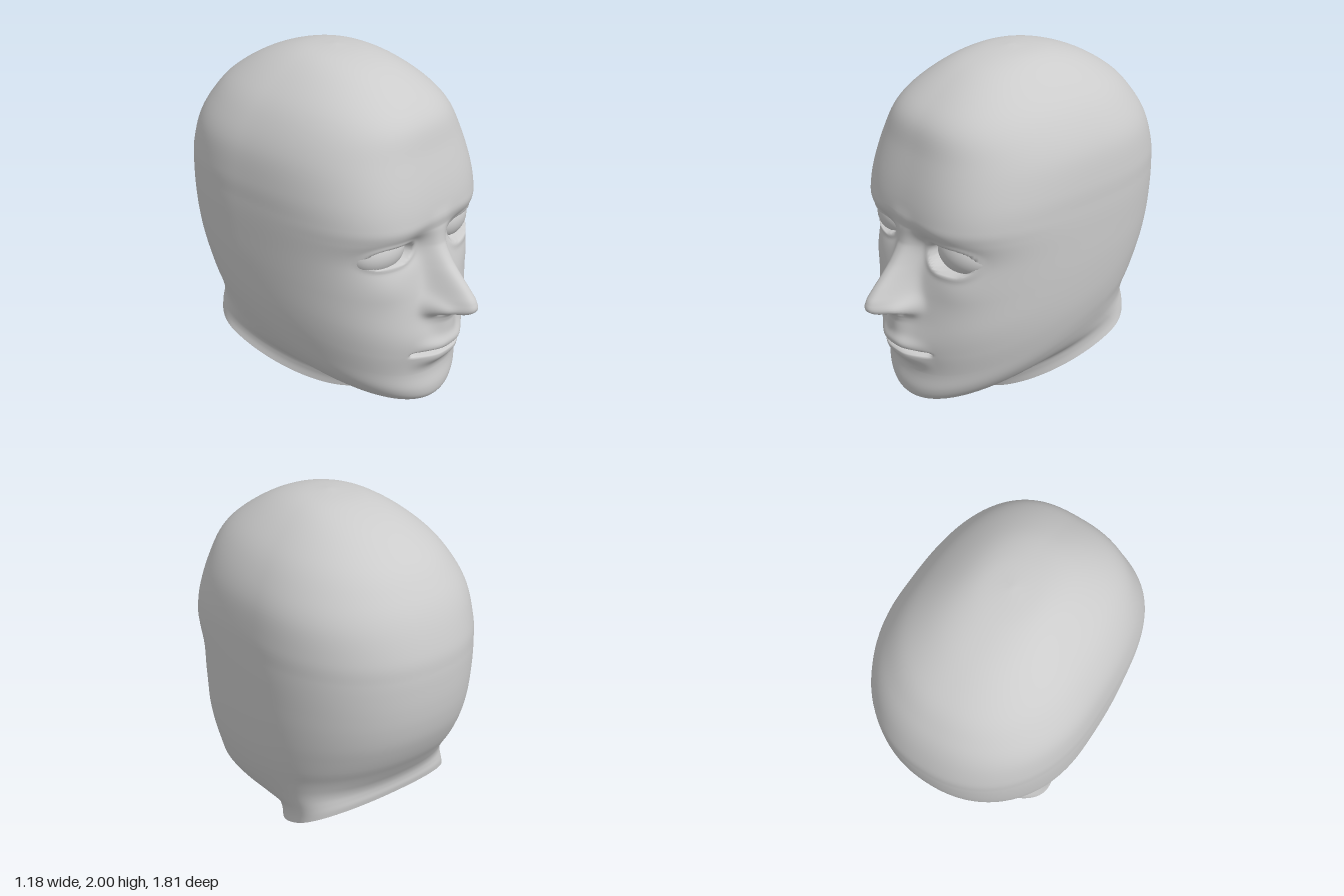
import * as THREE from 'three';
import { mergeVertices } from 'three/addons/utils/BufferGeometryUtils.js';

// Cross-sections from the neck cut to the crown:
// front z, front y, back z, back y, half width, z of widest point, front squareness
const SECTIONS = [
  [0.17, 0.00, -0.66, 0.50, 0.475, -0.42, 1.6],
  [0.20, 0.06, -0.665, 0.53, 0.468, -0.42, 1.6],
  [0.26, 0.11, -0.665, 0.56, 0.467, -0.40, 1.62],
  [0.45, 0.12, -0.67, 0.59, 0.473, -0.36, 1.75],
  [0.60, 0.135, -0.685, 0.625, 0.482, -0.32, 1.9],
  [0.68, 0.18, -0.71, 0.665, 0.495, -0.28, 2.05],
  [0.70, 0.25, -0.745, 0.72, 0.512, -0.24, 2.2],
  [0.685, 0.36, -0.79, 0.79, 0.533, -0.22, 2.35],
  [0.69, 0.50, -0.83, 0.87, 0.553, -0.20, 2.5],
  [0.69, 0.65, -0.86, 0.95, 0.567, -0.20, 2.65],
  [0.66, 0.85, -0.88, 1.04, 0.579, -0.20, 2.8],
  [0.635, 1.05, -0.89, 1.13, 0.586, -0.20, 3.0],
  [0.655, 1.19, -0.893, 1.22, 0.590, -0.20, 3.1],
  [0.672, 1.27, -0.891, 1.31, 0.590, -0.20, 3.1],
  [0.65, 1.40, -0.88, 1.41, 0.587, -0.20, 3.0],
  [0.60, 1.57, -0.83, 1.56, 0.562, -0.20, 2.8],
  [0.55, 1.72, -0.76, 1.68, 0.502, -0.18, 2.6],
  [0.44, 1.83, -0.65, 1.80, 0.415, -0.15, 2.5],
  [0.28, 1.93, -0.46, 1.915, 0.285, -0.11, 2.3],
  [0.12, 1.98, -0.25, 1.982, 0.160, -0.07, 2.1],
  [-0.05, 2.00, -0.05, 2.00, 0.000, -0.05, 2.0],
];
const BACK_SQUARENESS = 2.2;

// Nose ridge: height y, projection
const NOSE = [
  [0.55, 0], [0.68, 0.045], [0.72, 0.07], [0.74, 0.12], [0.76, 0.19], [0.78, 0.22],
  [0.80, 0.23], [0.84, 0.22], [0.90, 0.182], [1.0, 0.11], [1.1, 0.05], [1.2, 0.015], [1.3, 0],
];

// Eyes: centre x, y, half width, upper and lower opening
const EYES = [
  { name: 'rightEye', x: -0.28, y: 1.10, w: 0.125, up: 0.055, low: 0.052 },
  { name: 'leftEye', x: 0.275, y: 1.09, w: 0.125, up: 0.062, low: 0.080 },
];

const COLUMNS = 180;
const smooth = THREE.MathUtils.smoothstep;
const bump = (d, s) => Math.exp(-((d / s) ** 2));

function cubic(a, b, c, d, t) {
  return b + 0.5 * t * (c - a + t * (2 * a - 5 * b + 4 * c - d + t * (3 * (b - c) + d - a)));
}

function ridge(y) {
  for (let i = 1; i < NOSE.length; i++) {
    const [y0, h0] = NOSE[i - 1], [y1, h1] = NOSE[i];
    if (y >= y0 && y < y1) return h0 + (h1 - h0) * (y - y0) / (y1 - y0);
  }
  return 0;
}

// Forward offset of the face at x, y
function faceRelief(x, y) {
  const ax = Math.abs(x);
  // nose ridge, wings and nostrils
  const noseWidth = 0.075 + 0.025 * bump(y - 0.77, 0.1);
  let d = ridge(y) * Math.exp(-((ax / noseWidth) ** 2.6));
  d += 0.05 * bump(ax - 0.11, 0.035) * bump(y - 0.785, 0.045);
  d += 0.02 * bump(x, 0.2) * bump(y - 0.82, 0.12);
  d -= 0.045 * bump(ax - 0.065, 0.03) * bump(y - 0.746, 0.013);
  // mouth mound, lips, and the slit between them
  const lipSpan = 1 - smooth(ax, 0.05, 0.23);
  d += 0.048 * bump(x, 0.2) * bump(y - 0.565, 0.12);
  d += 0.032 * lipSpan * bump(y - 0.55, 0.038);
  d += 0.034 * lipSpan * bump(y - 0.465, 0.05);
  d -= 0.06 * (1 - smooth(ax, 0.17, 0.225)) * bump(y - 0.512, 0.01);
  // brow, cheekbones and the hollows beside the nose
  d += 0.014 * bump(ax - 0.26, 0.2) * bump(y - 1.205, 0.05);
  d += 0.012 * bump(ax - 0.33, 0.12) * bump(y - 0.92, 0.1);
  d -= 0.03 * bump(ax - 0.17, 0.07) * bump(y - 1.11, 0.07);
  // eye sockets, lids and almond openings
  for (const e of EYES) {
    const dx = (x - e.x) / e.w, dy = (y - e.y) / (y > e.y ? e.up : e.low);
    const r = Math.hypot(dy, Math.abs(dx) ** 1.5);
    d -= 0.025 * bump(x - e.x, 0.16) * bump(y - 1.1, 0.085);
    d += 0.01 * bump(r - 1.2, 0.25);
    d -= 0.065 * (1 - smooth(r, 0.9, 1.06));
  }
  return d;
}

// One closed ring of points for a cross-section
function ring([fz, fy, bz, by, w, cz, squareness]) {
  const points = [];
  for (let j = 0; j < COLUMNS; j++) {
    const u = (2 * j) / COLUMNS - 1;
    const angle = Math.PI * (0.4 * u + 0.6 * u ** 3); // denser on the face
    const s = Math.sin(angle), c = Math.cos(angle), n = c > 0 ? squareness : BACK_SQUARENESS;
    const r = (Math.abs(s) ** n + Math.abs(c) ** n) ** (-1 / n);
    const x = w * r * s;
    const z = cz + r * c * (c > 0 ? fz - cz : cz - bz);
    const y = fy + (by - fy) * (fz - z) / (fz - bz + 1e-6);
    points.push([x, y, z + smooth(z, 0.2, 0.42) * faceRelief(x, y)]);
  }
  return points;
}

function headGeometry(rings) {
  const index = [];
  for (let i = 0; i < rings.length - 1; i++) {
    for (let j = 0; j < COLUMNS; j++) {
      const k = (j + 1) % COLUMNS;
      const a = i * COLUMNS + j, b = i * COLUMNS + k;
      index.push(a, b, b + COLUMNS);
      if (i < rings.length - 2) index.push(a, b + COLUMNS, a + COLUMNS);
    }
  }
  const geometry = new THREE.BufferGeometry();
  geometry.setAttribute('position', new THREE.Float32BufferAttribute(rings.flat(2), 3));
  geometry.setIndex(index);
  const merged = mergeVertices(geometry, 1e-5);
  merged.computeVertexNormals();
  return merged;
}

// Flat cut under the neck
function capGeometry(edge, [fz, fy, bz, by]) {
  const points = [...edge, [0, (fy + by) / 2, (fz + bz) / 2]], index = [];
  for (let j = 0; j < COLUMNS; j++) index.push(COLUMNS, (j + 1) % COLUMNS, j);
  const geometry = new THREE.BufferGeometry();
  geometry.setAttribute('position', new THREE.Float32BufferAttribute(points.flat(), 3));
  geometry.setIndex(index);
  geometry.computeVertexNormals();
  return geometry;
}

export function createModel() {
  const group = new THREE.Group();
  group.name = 'head';
  const material = new THREE.MeshStandardMaterial({ color: 0xcccccc });
  const add = (name, geometry) => {
    const mesh = new THREE.Mesh(geometry, material);
    mesh.name = name;
    group.add(mesh);
    return mesh;
  };

  // Finer rows through the face, coarser over skull and neck
  const rings = [], last = SECTIONS.length - 1;
  for (let i = 0; i < last; i++) {
    const steps = i >= 7 && i < 13 ? 18 : 6;
    const [a, b, c, d] = [-1, 0, 1, 2].map(o => SECTIONS[THREE.MathUtils.clamp(i + o, 0, last)]);
    for (let s = 0; s < steps; s++) rings.push(ring(b.map((v, k) => cubic(a[k], v, c[k], d[k], s / steps))));
  }
  rings.push(ring(SECTIONS[last]));

  add('skin', headGeometry(rings));
  add('neckCut', capGeometry(rings[0], SECTIONS[0]));

  for (const e of EYES) {
    const eye = add(e.name, new THREE.SphereGeometry(1, 40, 28));
    eye.scale.set(0.17, 0.12, 0.12);
    eye.position.set(e.x, e.y, 0.472);
    eye.rotation.y = Math.sign(e.x) * 0.15;
  }
  return group;
}
